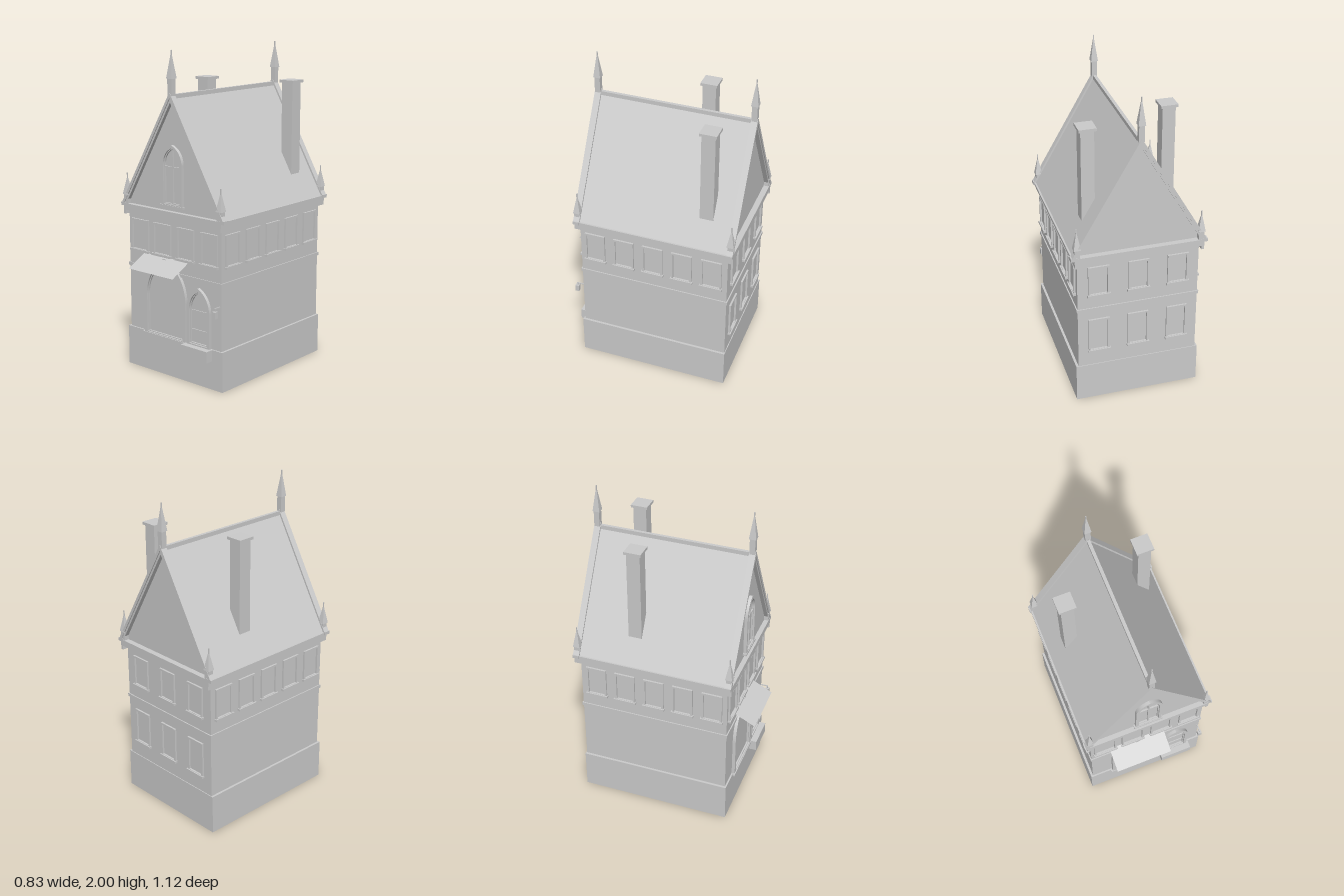
import * as THREE from 'three';

const mat = new THREE.MeshStandardMaterial({ color: 0xcccccc, flatShading: true });
const open = new THREE.MeshStandardMaterial({ color: 0xcccccc, flatShading: true, side: THREE.DoubleSide });
const FRONT = 0.42, BACK = -0.525, SIDE = 0.375;

function add(parent, name, geo, x = 0, y = 0, z = 0, m = mat) {
  const mesh = new THREE.Mesh(geo, m);
  mesh.name = name;
  mesh.position.set(x, y, z);
  parent.add(mesh);
  return mesh;
}

// Box given by its limits on each axis
function box(parent, name, x0, x1, y0, y1, z0, z1) {
  return add(parent, name, new THREE.BoxGeometry(x1 - x0, y1 - y0, z1 - z0),
    (x0 + x1) / 2, (y0 + y1) / 2, (z0 + z1) / 2);
}

function extrude(shape, depth) {
  return new THREE.ExtrudeGeometry(shape, { depth, bevelEnabled: false, curveSegments: 10 });
}

function polygon(points, Kind = THREE.Shape) {
  return new Kind(points.map(([x, y]) => new THREE.Vector2(x, y)));
}

const rect = (x0, y0, x1, y1, Kind) => polygon([[x0, y0], [x1, y0], [x1, y1], [x0, y1]], Kind);

// Rectangular window frame with a sill, facing +z
function squareWindow(w, h) {
  const g = new THREE.Group();
  g.name = 'window';
  const s = rect(-w / 2, 0, w / 2, h);
  s.holes.push(rect(-w / 2 + 0.012, 0.012, w / 2 - 0.012, h - 0.012, THREE.Path));
  add(g, 'windowFrame', extrude(s, 0.012));
  box(g, 'windowSill', -w / 2 - 0.006, w / 2 + 0.006, -0.004, 0.01, 0, 0.02);
  return g;
}

// Pointed arch outline: two arcs that meet at the peak, narrowed by an inset
function archOutline(Kind, w, spring, rise, inset, bottom) {
  const R = (rise * rise + w * w) / (2 * w), c = R - w, r = R - inset;
  const a = Math.acos(c / r);
  const p = new Kind();
  p.moveTo(-(w - inset), bottom);
  p.lineTo(w - inset, bottom);
  p.lineTo(w - inset, spring);
  p.absarc(-c, spring, r, 0, a, false);
  p.absarc(c, spring, r, Math.PI - a, Math.PI, false);
  p.closePath();
  return p;
}

function archFrame(parent, name, x, bottom, w, spring, rise, t) {
  const s = archOutline(THREE.Shape, w, spring, rise, 0, bottom);
  s.holes.push(archOutline(THREE.Path, w, spring, rise, t, bottom + 0.008));
  add(parent, name, extrude(s, 0.02), x, 0, FRONT);
  const inner = archOutline(THREE.Shape, w, spring, rise, t * 0.6, bottom + 0.004);
  const rim = archOutline(THREE.Path, w, spring, rise, t + 0.006, bottom + 0.014);
  inner.holes.push(rim);
  add(parent, name + 'Rim', extrude(inner, 0.01), x, 0, FRONT);
}

// Square shaft, flared pyramid and thin spike
function pinnacle(parent, x, y, z, shaft, spire, spike) {
  const g = new THREE.Group();
  g.name = 'pinnacle';
  g.position.set(x, y, z);
  parent.add(g);
  box(g, 'pinnacleShaft', -0.017, 0.017, 0, shaft, -0.017, 0.017);
  const cone = new THREE.CylinderGeometry(0.005, 0.031, spire, 4).rotateY(Math.PI / 4);
  add(g, 'pinnacleSpire', cone, 0, shaft + spire / 2, 0);
  box(g, 'pinnacleSpike', -0.003, 0.003, shaft + spire, shaft + spire + spike, -0.003, 0.003);
}

export function createModel() {
  const model = new THREE.Group();
  model.name = 'house';

  // Plinth, open underneath, and the walls
  const plinth = polygon([[-0.39, -0.43], [0.39, -0.43], [0.39, 0.53], [-0.39, 0.53]]);
  plinth.holes.push(rect(-0.374, -0.419, 0.374, 0.524, THREE.Path));
  const ring = extrude(plinth, 0.01).rotateX(-Math.PI / 2);
  add(model, 'plinthTop', ring, 0, 0.24, 0);
  const corners = [[-0.39, 0.43], [0.39, 0.43], [0.39, -0.53], [-0.39, -0.53]];
  corners.forEach(([x, z], i) => {
    const [x2, z2] = corners[(i + 1) % 4];
    const len = Math.hypot(x2 - x, z2 - z);
    const wall = add(model, 'plinthWall', new THREE.PlaneGeometry(len, 0.25),
      (x + x2) / 2, 0.125, (z + z2) / 2, open);
    wall.rotation.y = i * Math.PI / 2;
  });
  box(model, 'walls', -SIDE, SIDE, 0.245, 1.01, BACK, FRONT);
  box(model, 'stringCourse', -0.382, 0.382, 0.648, 0.668, -0.532, 0.427);

  // Cornice, roof with gable walls, ridge and eaves
  box(model, 'cornice', -0.395, 0.395, 1.005, 1.045, -0.56, 0.45);
  for (const s of [-1, 1]) {
    const x = s * 0.385;
    box(model, 'eavesBoard', x - 0.008, x + 0.008, 0.98, 1.03, -0.56, 0.45);
    box(model, 'gutter', s * 0.4 - 0.01, s * 0.4 + 0.01, 1.03, 1.045, -0.56, 0.45);
  }
  const roof = polygon([[-0.405, 1.035], [0.405, 1.035], [0, 1.735]]);
  add(model, 'roof', extrude(roof, FRONT - BACK), 0, 0, BACK);
  box(model, 'ridge', -0.01, 0.01, 1.715, 1.743, -0.54, 0.43);

  // Stepped gable copings with pinnacles at the peak and the corners
  const coping = (drop) => polygon([[-0.415, 1.04], [0, 1.757], [0.415, 1.04],
    [0.415 - drop * 0.58, 1.04], [0, 1.757 - drop], [-0.415 + drop * 0.58, 1.04]]);
  for (const [z0, z1, zp] of [[0.41, 0.45, 0.43], [-0.56, -0.52, -0.54]]) {
    add(model, 'gableCoping', extrude(coping(0.035), z1 - z0), 0, 0, z0);
    add(model, 'gableMoulding', extrude(coping(0.06), 0.028), 0, 0, z0 + 0.006);
    pinnacle(model, 0, 1.735, zp, 0.1, 0.135, 0.03);
    for (const s of [-1, 1]) {
      box(model, 'copingFoot', s * 0.395 - 0.022, s * 0.395 + 0.022, 1.03, 1.05, z0, z1);
      pinnacle(model, s * 0.378, 1.04, zp, 0.06, 0.1, 0.035);
    }
  }

  // Chimneys
  for (const [x, z] of [[-0.27, -0.188], [0.27, -0.364]]) {
    box(model, 'chimney', x - 0.04, x + 0.04, 1.15, 1.77, z - 0.042, z + 0.042);
    box(model, 'chimneyCap', x - 0.053, x + 0.053, 1.768, 1.785, z - 0.053, z + 0.053);
  }

  // Rectangular windows: front, both sides and back
  const place = (w, h, x, y, z, turn) => {
    const g = squareWindow(w, h);
    g.position.set(x, y, z);
    g.rotation.y = turn;
    model.add(g);
  };
  for (const [x, w] of [[-0.28, 0.146], [-0.095, 0.146], [0.095, 0.138], [0.283, 0.132]])
    place(w, 0.2, x, 0.755, FRONT, 0);
  for (let i = 0; i < 5; i++)
    for (const s of [-1, 1])
      place(0.13, 0.2, s * SIDE, 0.755, 0.325 - i * 0.1875, s * Math.PI / 2);
  for (const x of [-0.245, 0, 0.245]) {
    place(0.13, 0.2, x, 0.755, BACK, Math.PI);
    place(0.13, 0.23, x, 0.355, BACK, Math.PI);
  }

  // Gable window with a cross of glazing bars
  archFrame(model, 'gableWindowFrame', 0, 1.08, 0.083, 1.33, 0.115, 0.018);
  box(model, 'gableWindowSill', -0.092, 0.092, 1.07, 1.082, FRONT, 0.444);
  box(model, 'gableMullion', -0.005, 0.005, 1.09, 1.41, FRONT, 0.43);
  box(model, 'gableTransom', -0.068, 0.068, 1.305, 1.315, FRONT, 0.43);

  // Shop arch and door
  archFrame(model, 'shopArch', -0.067, 0.245, 0.172, 0.5, 0.245, 0.025);
  box(model, 'shopSill', -0.25, 0.112, 0.234, 0.248, FRONT, 0.445);
  archFrame(model, 'doorArch', 0.205, 0.25, 0.09, 0.47, 0.14, 0.02);
  for (const y of [0.34, 0.46])
    box(model, 'doorRail', 0.135, 0.275, y, y + 0.008, FRONT, 0.426);
  box(model, 'doorStep', 0.102, 0.31, 0.18, 0.25, 0.42, 0.48);

  // Sloping cloth awning
  const run = 0.14, fall = 0.072;
  const awning = add(model, 'awning', new THREE.PlaneGeometry(0.365, Math.hypot(run, fall)),
    -0.067, 0.712, FRONT + run / 2, open);
  awning.rotation.x = -Math.atan2(run, fall);

  // Lantern on its bracket
  box(model, 'lanternBracket', 0.361, 0.367, 0.522, 0.528, FRONT, 0.47);
  box(model, 'lanternHook', 0.362, 0.366, 0.505, 0.525, 0.465, 0.469);
  box(model, 'lantern', 0.352, 0.376, 0.466, 0.508, 0.455, 0.479);
  return model;
}
